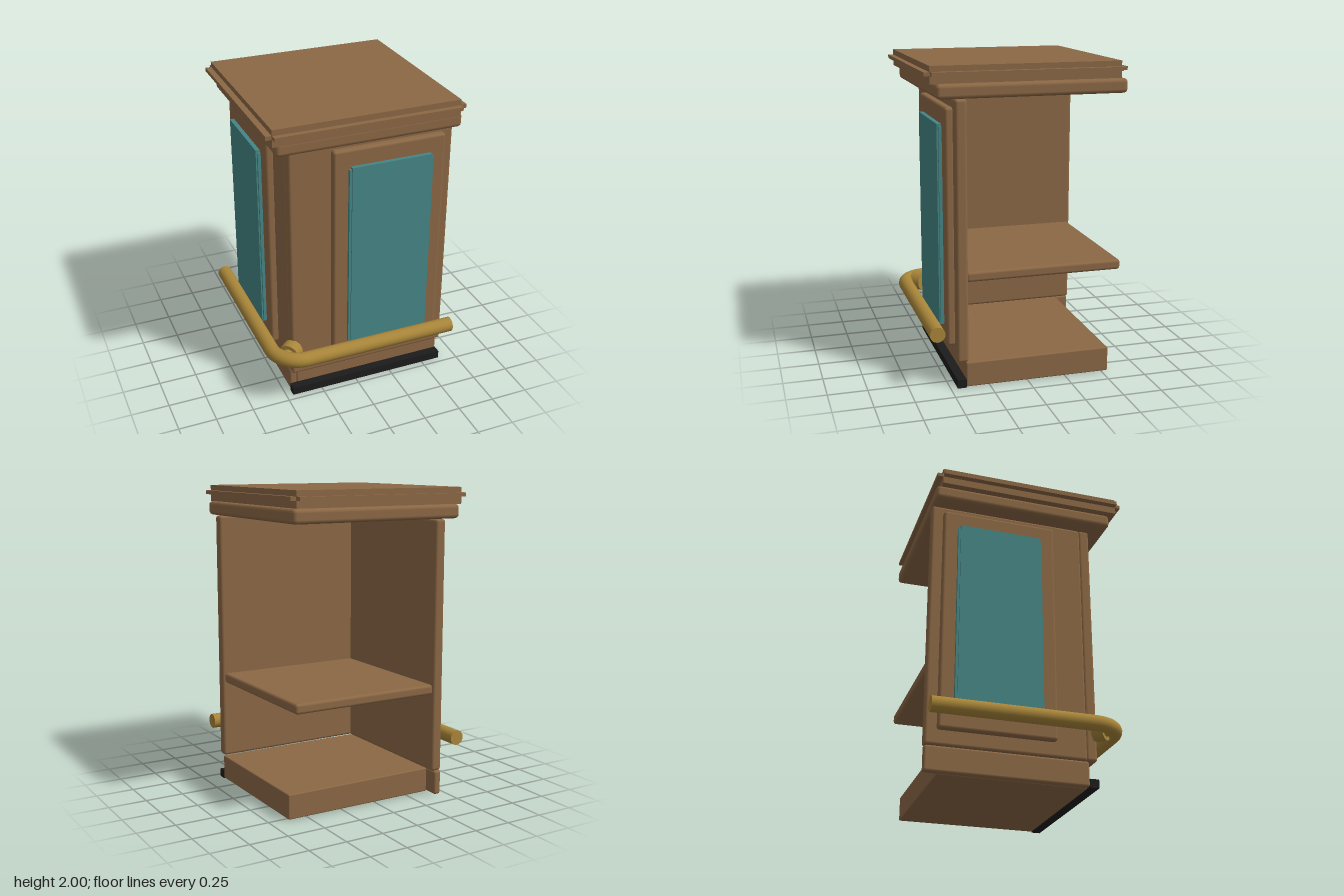
import * as THREE from 'three';
import { RoundedBoxGeometry } from 'three/addons/geometries/RoundedBoxGeometry.js';

const material = (name, color) => {
  const m = new THREE.MeshStandardMaterial({ color });
  m.name = name;
  return m;
};

export function createModel() {
  const wood = material('wood', 0x8b6845);
  const teal = material('teal panel', 0x468585);
  const brass = material('brass', 0xa88539);
  const black = material('black kick', 0x1c1c1c);
  const model = new THREE.Group();
  model.name = 'cornerCounter';

  const add = (name, geometry, mat) => {
    const mesh = new THREE.Mesh(geometry, mat);
    mesh.name = name;
    model.add(mesh);
    return mesh;
  };
  // box given by its limits on each axis, with optional rounded edges
  const box = (name, mat, [x0, x1], [y0, y1], [z0, z1], r = 0) => {
    const size = [x1 - x0, y1 - y0, z1 - z0];
    const geometry = r ? new RoundedBoxGeometry(...size, 2, r) : new THREE.BoxGeometry(...size);
    add(name, geometry, mat).position.set((x0 + x1) / 2, (y0 + y1) / 2, (z0 + z1) / 2);
  };

  // plinth, skirting and kick strip
  box('plinth', wood, [-0.405, 0.63], [0.005, 0.165], [-0.54, 0.4], 0.008);
  box('sideSkirting', wood, [-0.455, -0.405], [0.005, 0.165], [-0.63, 0.4], 0.015);
  box('kickStrip', black, [-0.455, 0.63], [0, 0.055], [0.4, 0.457]);

  // two walls meeting at the front corner, open on the other sides
  box('frontWall', wood, [-0.455, 0.63], [0.168, 1.805], [0.383, 0.455], 0.018);
  box('sideWall', wood, [-0.455, -0.383], [0.168, 1.805], [-0.63, 0.39], 0.018);
  box('shelf', wood, [-0.39, 0.615], [0.68, 0.745], [-0.615, 0.39], 0.018);

  // raised panels: the side one mirrors the front one across the corner
  const facing = (name, mat, [a0, a1], y, [d0, d1], r) => {
    box('front' + name, mat, [a0, a1], y, [d0, d1], r);
    box('side' + name, mat, [-d1, -d0], y, [-a1, -a0], r);
  };
  facing('Panel', wood, [-0.185, 0.56], [0.26, 1.75], [0.445, 0.502], 0.018);
  facing('InsetWide', teal, [-0.09, 0.47], [0.385, 1.625], [0.498, 0.522]);
  facing('InsetTall', teal, [-0.075, 0.455], [0.37, 1.64], [0.498, 0.53]);

  // crown and counter top, whose lip is notched at the corners
  box('crown', wood, [-0.565, 0.63], [1.805, 1.895], [-0.63, 0.565], 0.025);
  box('counterTop', wood, [-0.597, 0.595], [1.893, 2], [-0.597, 0.597]);
  box('lipAcross', wood, [-0.635, 0.632], [1.94, 1.965], [-0.595, 0.593]);
  box('lipDeep', wood, [-0.595, 0.593], [1.941, 1.964], [-0.635, 0.632]);

  // foot rail: two straight runs joined by a bend
  const y = 0.367, d = 0.58, bend = 0.18, r = 0.049;
  const v = (x, z) => new THREE.Vector3(x, y, z);
  const run = (a, b) => {
    const rod = add('footRail', new THREE.CylinderGeometry(r, r, a.distanceTo(b), 20), brass);
    rod.position.copy(a).lerp(b, 0.5);
    rod.quaternion.setFromUnitVectors(new THREE.Vector3(0, 1, 0), b.clone().sub(a).normalize());
  };
  run(v(-d + bend, d), v(0.63, d));
  run(v(-d, d - bend), v(-d, -0.63));
  const elbow = add('railElbow', new THREE.TorusGeometry(bend, r, 20, 10, Math.PI / 2), brass);
  elbow.rotation.set(Math.PI / 2, 0, Math.PI / 2);
  elbow.position.set(-d + bend, y, d - bend);

  // bracket set diagonally on the wall corner
  const bracket = (name, radius, from, to) => {
    const mesh = add(name, new THREE.CylinderGeometry(radius, radius, (to - from) * Math.SQRT2, 20), brass);
    mesh.quaternion.setFromUnitVectors(new THREE.Vector3(0, 1, 0), new THREE.Vector3(-1, 0, 1).normalize());
    mesh.position.copy(v(-(from + to) / 2, (from + to) / 2));
  };
  bracket('bracketFlange', 0.07, 0.445, 0.497);
  bracket('bracketNeck', 0.045, 0.45, 0.525);

  return model;
}
